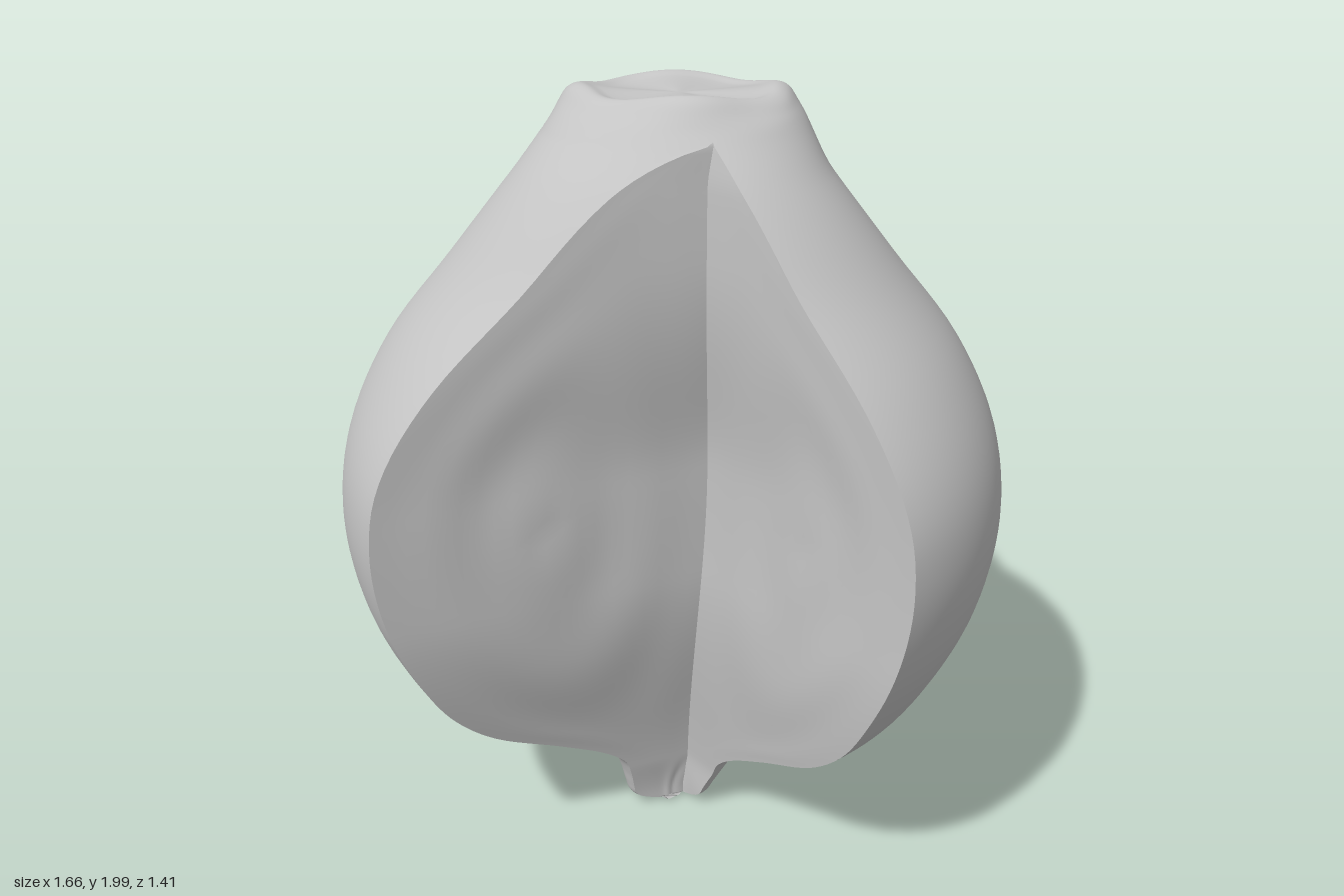
import * as THREE from 'three';
import { mergeVertices } from 'three/addons/utils/BufferGeometryUtils.js';

const { smoothstep } = THREE.MathUtils;

// Profile from root to crown: radius, height, z of the axis
const PROFILE = [
  [0, 0.005, 0.1], [0.05, 0.015, 0.1], [0.105, 0.045, 0.1], [0.125, 0.08, 0.095], [0.155, 0.13, 0.08], [0.195, 0.18, 0.055],
  [0.27, 0.235, 0.04], [0.4, 0.305, 0.04], [0.565, 0.395, 0.065], [0.66, 0.49, 0.085], [0.73, 0.61, 0.1], [0.8, 0.79, 0.115],
  [0.83, 1.0, 0.12], [0.8, 1.2, 0.12], [0.705, 1.4, 0.12], [0.545, 1.6, 0.115], [0.385, 1.8, 0.1],
  [0.305, 1.9, 0.065], [0.27, 1.95, 0.045], [0.245, 1.98, 0.035], [0.22, 1.989, 0.035], [0.18, 1.98, 0.035], [0, 1.975, 0.035],
];
const RIGHT_DIR = [0.49, 0.465]; // wedge directions in x, z
const LEFT_DIR = [-0.725, 0.415];

// Inner line of the wedge at height y
function apexAt(y) {
  return [
    0.04 + 0.06 * smoothstep(y, 0.05, 1.1),
    0.1 + 0.13 * smoothstep(y, 0, 0.8) + 0.12 * smoothstep(y, 1.1, 1.65),
  ];
}

// Where a ray from the apex leaves the circle of radius r around (0, cz)
function rimPoint([ax, az], [dx, dz], cz, r) {
  const px = ax, pz = az - cz;
  const a = dx * dx + dz * dz, b = px * dx + pz * dz, c = px * px + pz * pz - r * r;
  const t = (-b + Math.sqrt(b * b - a * c)) / a;
  return [ax + t * dx, az + t * dz];
}

// Cross-section: skin arc plus the two cut lines
function section(r, y, cz) {
  let apex = apexAt(y);
  const angle = ([x, z]) => Math.atan2(x, z - cz);
  let right, left, start, end;
  if (Math.hypot(apex[0], apex[1] - cz) < r) {
    right = rimPoint(apex, RIGHT_DIR, cz, r);
    left = rimPoint(apex, LEFT_DIR, cz, r);
    start = angle(right);
    end = angle(left);
    if (end <= start) end += Math.PI * 2;
  } else {
    start = angle(apex);
    end = start + Math.PI * 2;
    apex = right = left = [r * Math.sin(start), cz + r * Math.cos(start)];
  }
  return { r, y, cz, apex, right, left, start, end };
}

// Flatter upper front, oval uneven crown and a knobbly root
function place(x, y, z, s) {
  const a = Math.atan2(x, z - s.cz);
  const crown = smoothstep(y, 1.8, 1.95);
  const rim = smoothstep(y, 1.92, 1.98) * Math.min(1, s.r / 0.2);
  const root = 1 - smoothstep(y, 0.03, 0.16);
  const k = 1 + root * 0.08 * Math.sin(a * 5 + 1) + rim * 0.02 * Math.sin(a * 7);
  const depth = z > s.cz ? 1 - 0.2 * smoothstep(y, 1.1, 1.65) : 1 - 0.1 * crown;
  return [
    x * k * (1 + 0.06 * crown) + 0.01 * crown - 0.015 * root,
    y + rim * 0.008 * Math.sin(a * 4 + 0.9),
    s.cz + (z - s.cz) * k * depth,
  ];
}

// Skin a grid of rows (bottom to top) and columns (counter-clockwise seen from outside)
function loft(sections, columns, pointAt) {
  const pos = [], index = [], w = columns + 1;
  sections.forEach((s, j) => {
    for (let i = 0; i <= columns; i++) {
      const [x, z] = pointAt(s, i / columns);
      pos.push(...place(x, s.y, z, s));
      if (i < columns && j < sections.length - 1) {
        const a = j * w + i;
        index.push(a, a + 1, a + w + 1, a, a + w + 1, a + w);
      }
    }
  });
  let geo = new THREE.BufferGeometry();
  geo.setAttribute('position', new THREE.Float32BufferAttribute(pos, 3));
  geo.setIndex(index);
  geo = mergeVertices(geo, 1e-5);
  geo.computeVertexNormals();
  return geo;
}

// Straight cut line between two points with shallow layered ripples
function cutLine(from, to, t, y) {
  const dx = to[0] - from[0], dz = to[1] - from[1];
  const depth = Math.sin(Math.PI * t) * Math.hypot(dx, dz);
  const ring = Math.hypot(t - 0.5, (y - 1) * 0.7);
  const n = 0.006 * Math.sin(ring * 24) * depth;
  return [from[0] + dx * t - dz * n, from[1] + dz * t + dx * n];
}

export function createModel() {
  const model = new THREE.Group();
  model.name = 'cutBulb';
  const grey = new THREE.MeshStandardMaterial({ color: 0xc4c4c4 });
  grey.name = 'plain grey';

  const curve = new THREE.CatmullRomCurve3(PROFILE.map((p) => new THREE.Vector3(...p)), false, 'centripetal');
  const sections = curve.getPoints((PROFILE.length - 1) * 6).map((p) => section(Math.max(p.x, 0), p.y, p.z));

  const add = (name, columns, pointAt) => {
    const mesh = new THREE.Mesh(loft(sections, columns, pointAt), grey);
    mesh.name = name;
    model.add(mesh);
  };

  // Outer skin with crown and root
  add('skin', 96, (s, t) => {
    const a = s.start + (s.end - s.start) * t;
    return [s.r * Math.sin(a), s.cz + s.r * Math.cos(a)];
  });
  // Two faces of the missing wedge
  add('rightCutFace', 20, (s, t) => cutLine(s.left, s.apex, t, s.y));
  add('leftCutFace', 20, (s, t) => cutLine(s.apex, s.right, t, s.y));
  return model;
}
